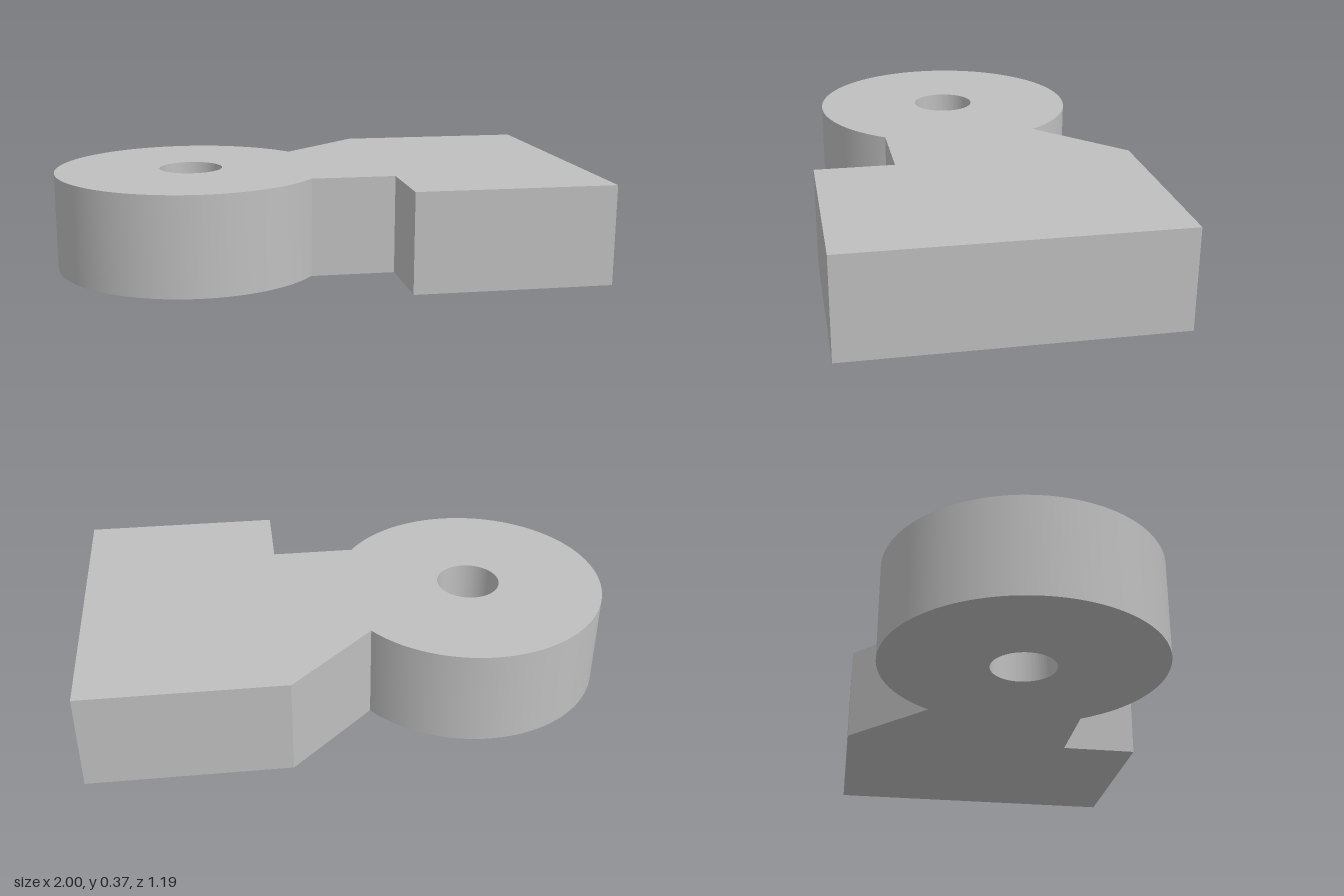
import * as THREE from 'three';
import { toCreasedNormals } from 'three/addons/utils/BufferGeometryUtils.js';

export function createModel() {
  const group = new THREE.Group();
  group.name = 'eyeBracket';
  const grey = new THREE.MeshStandardMaterial({ color: 0xbfbfbf });
  grey.name = 'plain grey';

  const height = 0.371;
  const eyeX = -0.483, eyeRadius = 0.517, holeRadius = 0.12;
  const neckHalf = 0.297, blockHalf = 0.593, blockX = 0.257;

  // Outline: round eye, narrow neck and wide block in one piece
  const a = Math.asin(neckHalf / eyeRadius);
  const outline = new THREE.Shape();
  outline.moveTo(blockX, neckHalf);
  outline.absarc(eyeX, 0, eyeRadius, a, Math.PI * 2 - a, false);
  outline.lineTo(blockX, -neckHalf);
  outline.lineTo(blockX, -blockHalf);
  outline.lineTo(1, -blockHalf);
  outline.lineTo(1, blockHalf);
  outline.lineTo(blockX, blockHalf);
  outline.closePath();

  // Through hole in the eye
  const hole = new THREE.Path();
  hole.absarc(eyeX, 0, holeRadius, 0, Math.PI * 2, true);
  outline.holes.push(hole);

  // Extrude upwards, smooth round walls with sharp edges
  const solid = new THREE.ExtrudeGeometry(outline, { depth: height, bevelEnabled: false, curveSegments: 72 });
  solid.rotateX(-Math.PI / 2);
  const body = new THREE.Mesh(toCreasedNormals(solid, Math.PI / 6), grey);
  body.name = 'bracketBody';
  group.add(body);
  return group;
}
